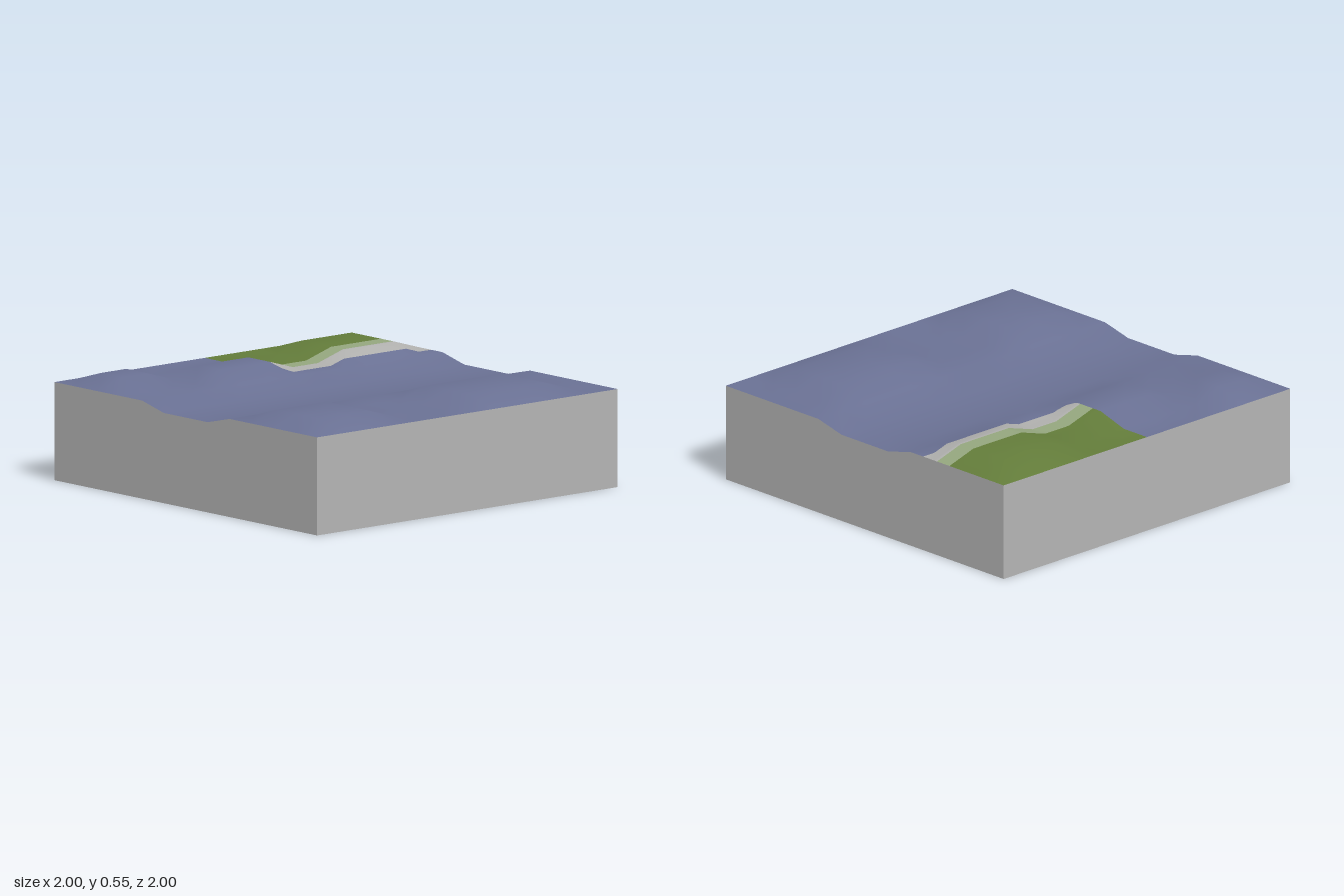
import * as THREE from 'three';
import { mergeVertices } from 'three/addons/utils/BufferGeometryUtils.js';

const CELLS = 12, STEP = 2 / CELLS;
const BASE = 0.5, HILL = 0.55, BED = 0.46;

// Flat-topped hills as grid rectangles: [x0, z0, x1, z1]
const HILLS = [
  [1, 9, 3, 11], [7, 9, 10, 11],
  [1, 1, 2, 2], [4, 2, 6, 3], [9, 1, 11, 3],
];

function heightAt(i, j) {
  if (j >= 5 && j <= 7) return BED; // sunken channel across the tile
  const onHill = HILLS.some(([x0, z0, x1, z1]) => i >= x0 && i <= x1 && j >= z0 && j <= z1);
  return onHill ? HILL : BASE;
}

const gridPoint = (i, j) => new THREE.Vector3(i * STEP - 1, heightAt(i, j), j * STEP - 1);

// Cuts a convex polygon by the line a*x + b*z = c into [inside, outside]
function split(poly, [a, b, c]) {
  const inside = [], outside = [];
  const dist = (p) => {
    const d = a * p.x + b * p.z - c;
    return Math.abs(d) < 1e-6 ? 0 : d;
  };
  poly.forEach((p, k) => {
    const q = poly[(k + 1) % poly.length];
    const dp = dist(p), dq = dist(q);
    if (dp <= 0) inside.push(p);
    if (dp >= 0) outside.push(p);
    if (dp * dq < 0) {
      const m = p.clone().lerp(q, dp / (dp - dq));
      inside.push(m);
      outside.push(m);
    }
  });
  return [inside, outside];
}

// Land in the back corner, with a small rounded corner on the shore
const SHORE = [
  [-1, 0, 0],
  [0, 1, -0.42],
  [-0.924, 0.383, -0.42 * 0.383 - 0.0235],
  [-0.383, 0.924, -0.42 * 0.924 - 0.0235],
];
const GRASS_EDGE = [0, 1, -0.61], SAND_EDGE = [0, 1, -0.52];

function terrainGeometry() {
  const zones = [[], [], [], []]; // water, grass, grassy shore, bare shore
  const add = (zone, poly) => {
    for (let k = 1; k < poly.length - 1; k++) zones[zone].push(poly[0], poly[k], poly[k + 1]);
  };
  const addTriangle = (...triangle) => {
    let land = triangle, rest;
    for (const line of SHORE) {
      [land, rest] = split(land, line);
      add(0, rest);
    }
    [rest, land] = split(land, GRASS_EDGE);
    add(1, rest);
    [rest, land] = split(land, SAND_EDGE);
    add(2, rest);
    add(3, land);
  };
  for (let i = 0; i < CELLS; i++) {
    for (let j = 0; j < CELLS; j++) {
      const a = gridPoint(i, j), b = gridPoint(i, j + 1);
      const c = gridPoint(i + 1, j), d = gridPoint(i + 1, j + 1);
      addTriangle(a, b, c);
      addTriangle(c, b, d);
    }
  }
  const geometry = new THREE.BufferGeometry().setFromPoints(zones.flat());
  let start = 0;
  zones.forEach((points, k) => {
    geometry.addGroup(start, points.length, k);
    start += points.length;
  });
  const smooth = mergeVertices(geometry);
  smooth.computeVertexNormals();
  return smooth;
}

// Wall outline, optionally dipping where the channel leaves the tile
function wallGeometry(dipped) {
  const shape = new THREE.Shape();
  shape.moveTo(-1, 0);
  shape.lineTo(1, 0);
  shape.lineTo(1, BASE);
  if (dipped) {
    shape.lineTo(2 * STEP, BASE);
    shape.lineTo(STEP, BED);
    shape.lineTo(-STEP, BED);
    shape.lineTo(-2 * STEP, BASE);
  }
  shape.lineTo(-1, BASE);
  return new THREE.ShapeGeometry(shape).translate(0, 0, 1);
}

export function createModel() {
  const material = (name, color) =>
    new THREE.MeshStandardMaterial({ name, color, side: THREE.DoubleSide });
  const water = material('water blue', 0x6a7194);
  const grass = material('grass green', 0x637c3a);
  const grassyShore = material('pale green', 0x94a67e);
  const bareShore = material('shore grey', 0xb0b0ae);
  const stone = material('wall grey', 0xb4b4b4);

  const model = new THREE.Group();
  model.name = 'terrainTile';

  const terrain = new THREE.Mesh(terrainGeometry(), [water, grass, grassyShore, bareShore]);
  terrain.name = 'terrainSurface';
  model.add(terrain);

  // Four outer walls, open underneath
  ['frontWall', 'leftWall', 'backWall', 'rightWall'].forEach((name, k) => {
    const wall = new THREE.Mesh(wallGeometry(k % 2 === 1), stone);
    wall.name = name;
    wall.rotation.y = k * Math.PI / 2;
    model.add(wall);
  });
  return model;
}
